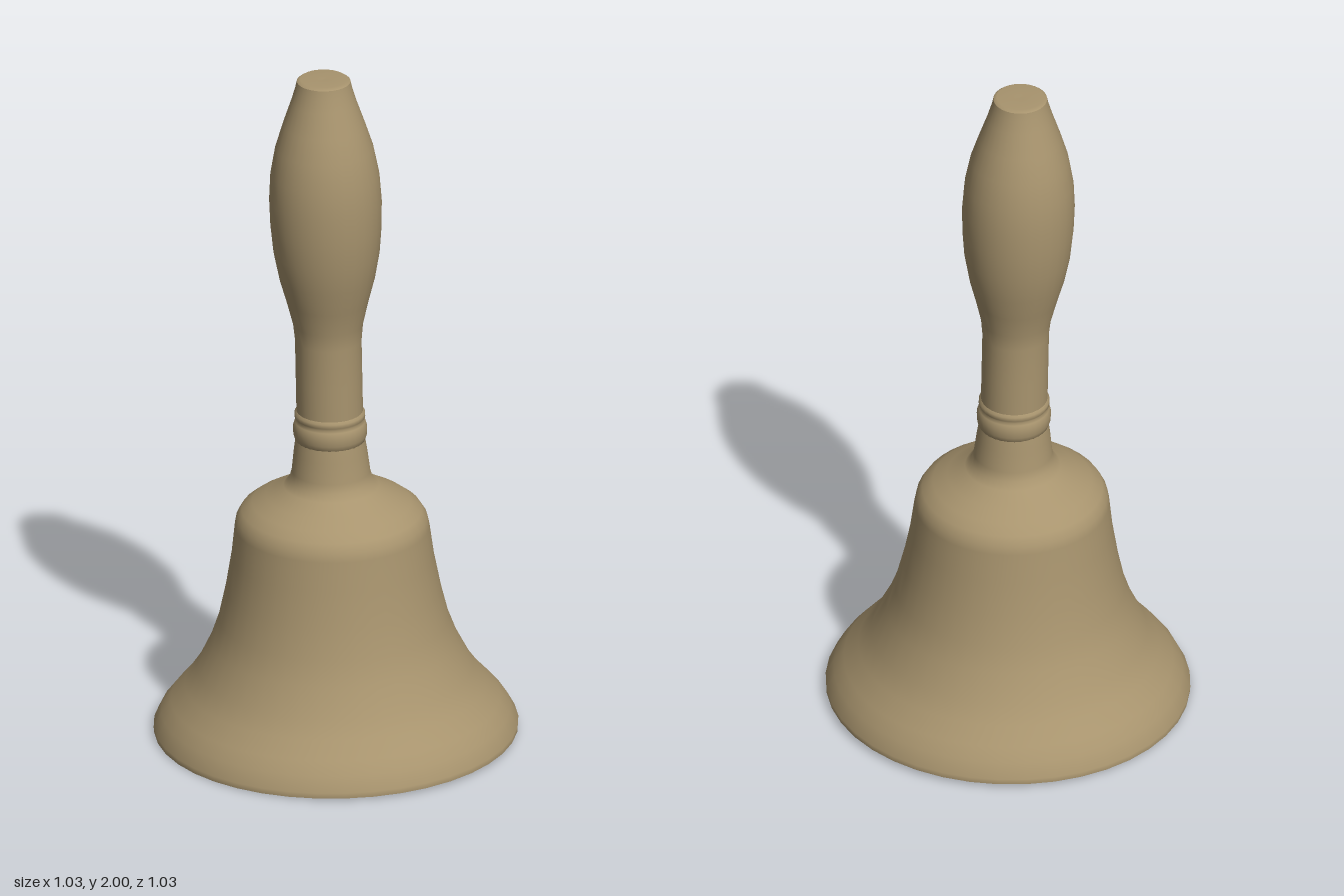
import * as THREE from 'three';

export function createModel() {
  const model = new THREE.Group();
  model.name = 'handBell';
  const brass = new THREE.MeshStandardMaterial({ color: 0xa8946e });
  brass.name = 'dull brass';

  // Turned part: profile of [radius, height], leaning slightly as it rises
  function turned(name, profile, segments = 40) {
    const g = new THREE.LatheGeometry(profile.map(([r, y]) => new THREE.Vector2(r, y)), segments);
    const p = g.attributes.position;
    for (let i = 0; i < p.count; i++) {
      const x = p.getX(i), y = p.getY(i), z = p.getZ(i);
      const tilt = 0.014 * x * Math.max(0, 1 - y / 0.5);
      const lean = Math.min(y, 1.9);
      p.setXYZ(i, x - 0.018 * lean, y + tilt, z - 0.005 * lean);
    }
    const mesh = new THREE.Mesh(g, brass);
    mesh.name = name;
    model.add(mesh);
  }

  // Hollow inside of the bell, from its ceiling down to the lip
  turned('bellInside', [
    [0, 0.64], [0.12, 0.635], [0.21, 0.61], [0.24, 0.57], [0.255, 0.48], [0.28, 0.38],
    [0.32, 0.28], [0.365, 0.19], [0.42, 0.11], [0.465, 0.055], [0.49, 0.014],
  ]);

  // Flat lip joining inside and outside
  turned('bellLip', [[0.49, 0.014], [0.514, 0.012]]);

  // Flared outside with rounded shoulder
  turned('bellOutside', [
    [0.514, 0.012], [0.515, 0.028], [0.493, 0.07], [0.465, 0.105], [0.425, 0.15], [0.39, 0.2],
    [0.35, 0.28], [0.325, 0.35], [0.304, 0.44], [0.286, 0.54], [0.275, 0.63], [0.27, 0.655],
    [0.255, 0.68], [0.225, 0.703], [0.185, 0.725], [0.135, 0.755], [0.118, 0.775],
    [0.111, 0.80], [0.104, 0.86], [0.098, 0.9],
  ]);

  // Collar ring between bell and handle
  turned('collar', [
    [0.09, 0.888], [0.098, 0.895], [0.104, 0.912], [0.105, 0.935], [0.1, 0.952],
    [0.094, 0.958], [0.1, 0.966], [0.1, 0.978], [0.092, 0.986],
  ], 32);

  // Bulging grip
  turned('handle', [
    [0.094, 0.95], [0.094, 1.08], [0.094, 1.2], [0.099, 1.25], [0.116, 1.32], [0.135, 1.39],
    [0.15, 1.47], [0.157, 1.55], [0.159, 1.63], [0.154, 1.71], [0.139, 1.79], [0.117, 1.86],
    [0.093, 1.93], [0.081, 1.97], [0.076, 1.993],
  ], 32);

  // Blunt end of the grip
  turned('handleEnd', [[0.076, 1.993], [0.066, 2], [0, 1.998]], 32);

  return model;
}
